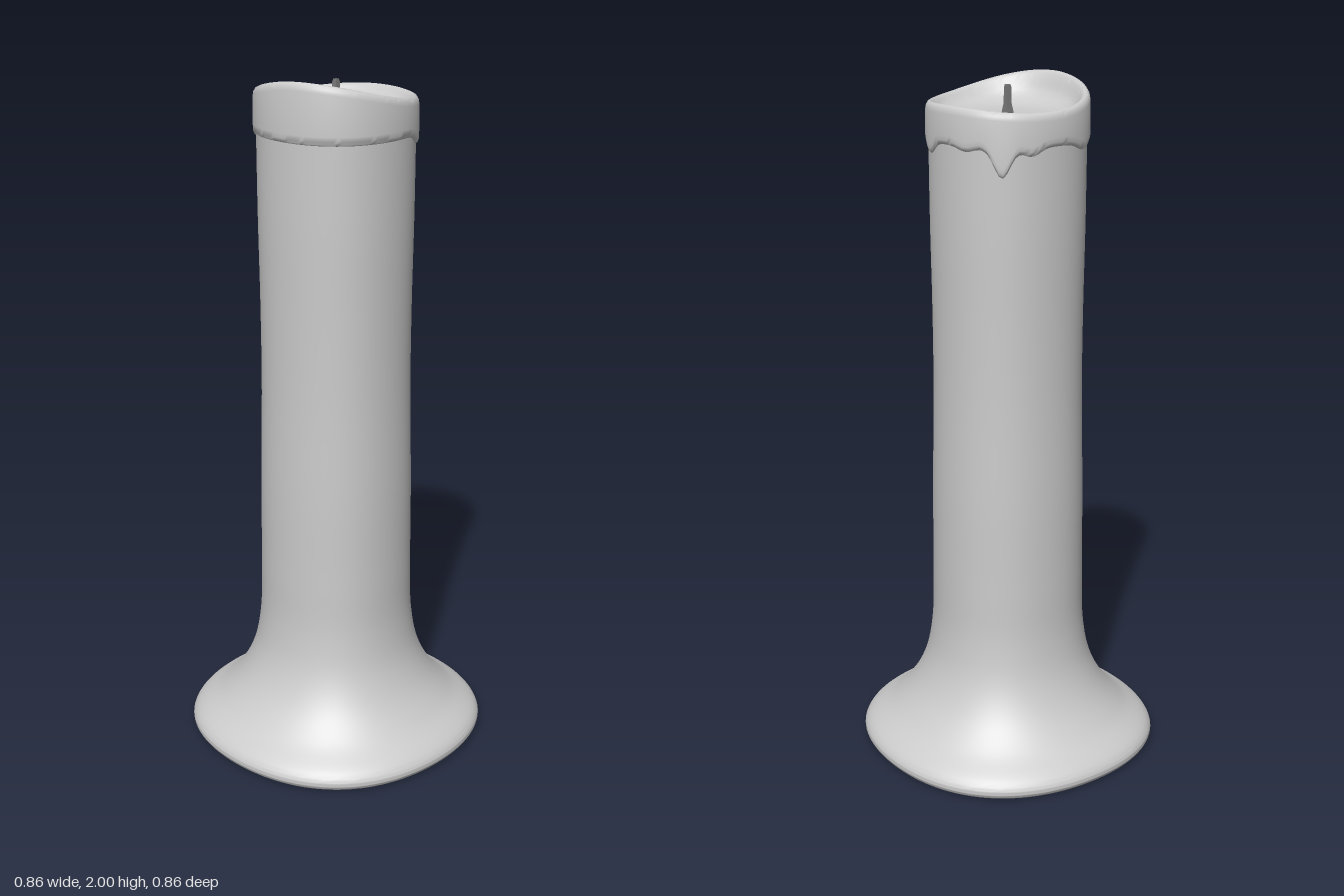
import * as THREE from 'three';
import { toCreasedNormals } from 'three/addons/utils/BufferGeometryUtils.js';

const SEGMENTS = 128;
const rad = THREE.MathUtils.degToRad;

// Skin closed rings into a surface; ringAt(i, angle) gives [radius, y].
// Angle 0 is +z and turns towards +x. The section is a slightly squared circle.
function ringSurface(count, ringAt, square = 0.035) {
  const pos = [], index = [];
  for (let i = 0; i < count; i++) {
    for (let j = 0; j < SEGMENTS; j++) {
      const a = (j / SEGMENTS) * Math.PI * 2;
      const [r, y] = ringAt(i, a);
      const s = r * (1 + square * (1 - Math.cos(4 * a)) / 2);
      pos.push(s * Math.sin(a), y, s * Math.cos(a));
      if (i === count - 1) continue;
      const k = (j + 1) % SEGMENTS;
      const p = i * SEGMENTS + j, q = i * SEGMENTS + k;
      index.push(p, q, q + SEGMENTS, p, q + SEGMENTS, p + SEGMENTS);
    }
  }
  const geo = new THREE.BufferGeometry();
  geo.setAttribute('position', new THREE.Float32BufferAttribute(pos, 3));
  geo.setIndex(index);
  return toCreasedNormals(geo, 0.9);
}

// Smooth a profile of [radius, y] points
function smoothProfile(points, n) {
  const curve = new THREE.CatmullRomCurve3(points.map(([r, y]) => new THREE.Vector3(r, y, 0)), false, 'centripetal');
  return curve.getPoints(n).map(p => [p.x, p.y]);
}

// Wavy upper rim of the melted top
const rimHeight = a => 1.955 + 0.03 * Math.cos(a - rad(25)) + 0.015 * Math.cos(2 * (a - rad(15)));

// Lower edge of the melted wax: [angle, length, half-width] per drip
const drips = [[126, 0.028, 9], [160, 0.035, 10], [203, 0.012, 9], [230, 0.078, 8], [251, 0.022, 9], [302, 0.022, 12]];
function dripEdge(a) {
  let y = 1.837;
  for (const [deg, len, width] of drips) {
    const d = (a - rad(deg)) / rad(width);
    y -= len * Math.exp(-d * d);
  }
  return y;
}

export function createModel() {
  const group = new THREE.Group();
  const wax = new THREE.MeshStandardMaterial({ color: 0xcccccc });
  const add = (name, geo) => {
    const mesh = new THREE.Mesh(geo, wax);
    mesh.name = name;
    group.add(mesh);
    return mesh;
  };

  // Candle body with a flared foot and a flat underside
  const side = smoothProfile([
    [0.405, 0], [0.422, 0.008], [0.43, 0.025], [0.418, 0.05], [0.345, 0.105], [0.285, 0.175], [0.243, 0.265],
    [0.222, 0.38], [0.217, 0.55], [0.215, 0.8], [0.209, 1.1], [0.209, 1.35], [0.212, 1.6], [0.213, 1.85],
  ], 72);
  const body = [[0, 0], ...side, [0, 1.85]];
  add('candleBody', ringSurface(body.length, i => body[i]));

  // Melted cap: dripping skirt, rounded rim and hollow bowl
  const bowl = smoothProfile([[0.188, 0.8], [0.172, 0.45], [0.145, 0.2], [0.105, 0.06], [0.05, 0.01], [0, 0]], 20);
  const skirt = [[0.207, 0.004], [0.214, 0], [0.2185, 0.004], [0.221, 0.012], [0.221, 0.025]];
  const rim = [[0.22, -0.022], [0.218, -0.011], [0.213, -0.003], [0.207, 0], [0.201, -0.003], [0.195, -0.01]];
  const floorY = 1.9;
  add('meltedCap', ringSurface(skirt.length + rim.length + bowl.length, (i, a) => {
    if (i < skirt.length) return [skirt[i][0], dripEdge(a) + skirt[i][1]];
    i -= skirt.length;
    const top = rimHeight(a);
    if (i < rim.length) return [rim[i][0], top + rim[i][1]];
    const [r, t] = bowl[i - rim.length];
    return [r, floorY + t * (top - 0.012 - floorY)];
  }));

  // Square wick, flared where it meets the wax
  const wickProfile = [[0.019, 1.89], [0.016, 1.908], [0.011, 1.93], [0.0105, 1.972], [0.008, 1.98], [0, 1.98]];
  const wickGeo = new THREE.LatheGeometry(wickProfile.map(([r, y]) => new THREE.Vector2(r, y)), 4);
  wickGeo.rotateY(Math.PI / 4);
  const wick = add('wick', toCreasedNormals(wickGeo, 0.5));
  wick.material = new THREE.MeshStandardMaterial({ color: 0x777777 });

  return group;
}
